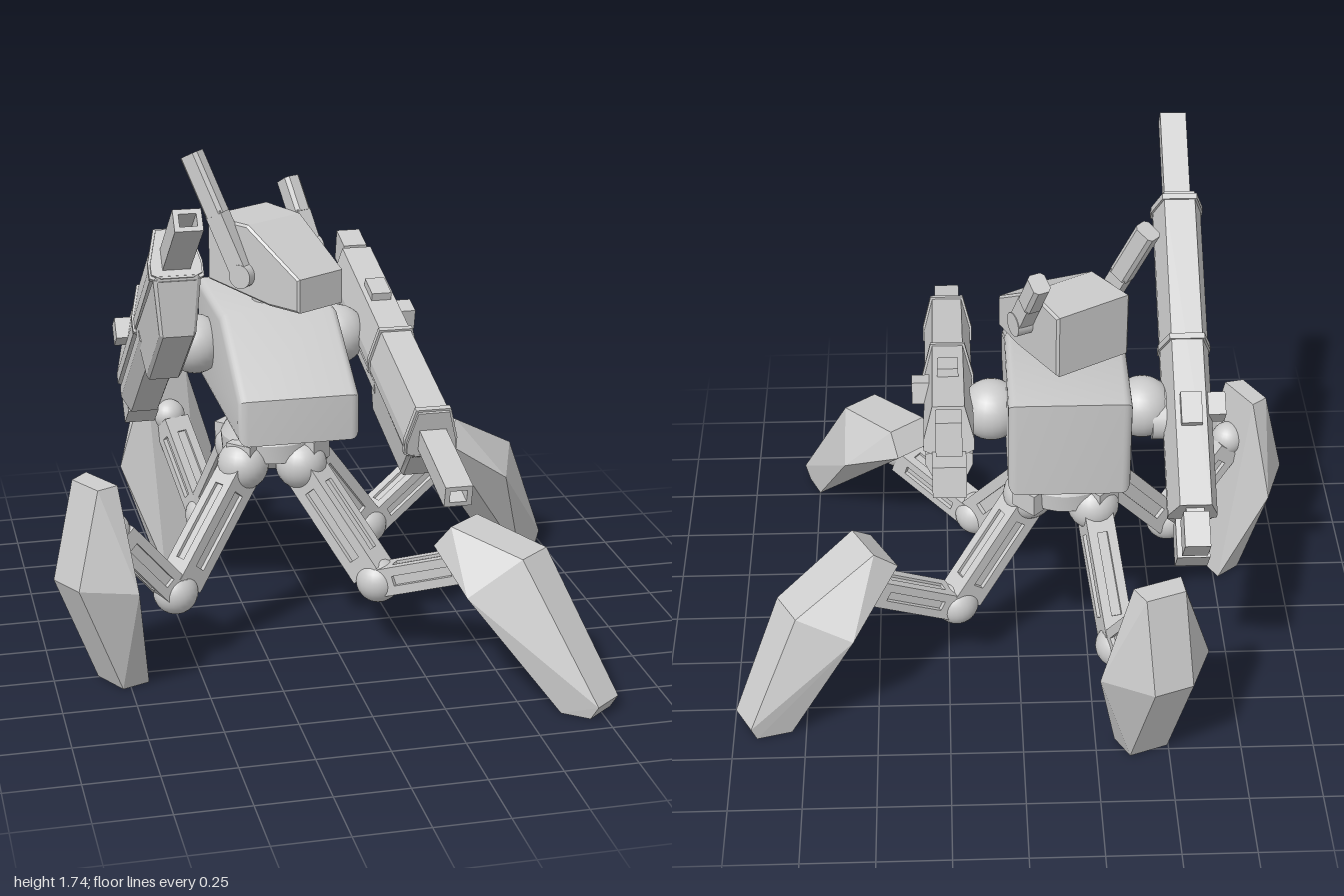
import * as THREE from 'three';
import { toCreasedNormals } from 'three/addons/utils/BufferGeometryUtils.js';
import { ConvexGeometry } from 'three/addons/geometries/ConvexGeometry.js';

const smooth = new THREE.MeshStandardMaterial({ color: 0xcccccc });
const flat = new THREE.MeshStandardMaterial({ color: 0xcccccc, flatShading: true });
const V = (a) => new THREE.Vector3(...a);

function add(parent, name, geometry, material = flat, pos = [0, 0, 0]) {
  const mesh = new THREE.Mesh(geometry, material);
  mesh.name = name;
  mesh.position.set(...pos);
  parent.add(mesh);
  return mesh;
}
function group(parent, name) {
  const g = new THREE.Group();
  g.name = name;
  parent.add(g);
  return g;
}
const ball = (parent, name, pos, r) =>
  add(parent, name, new THREE.SphereGeometry(r, 24, 16), smooth, pos);
const box = (parent, name, size, pos) =>
  add(parent, name, new THREE.BoxGeometry(...size), flat, pos);

// Side outline given as [z, y] points, extruded across x
function sideSolid(points, width, bevel, segments = 1) {
  const shape = new THREE.Shape(points.map((p) => new THREE.Vector2(...p)));
  const g = new THREE.ExtrudeGeometry(shape, {
    depth: width - 2 * bevel, bevelEnabled: bevel > 0,
    bevelSize: bevel, bevelThickness: bevel, bevelSegments: segments,
  });
  return g.translate(0, 0, bevel - width / 2).rotateY(-Math.PI / 2);
}
// Bar from z0 to z1 whose long edges are cut by cx across, and low / high upwards
function chamferBar(w, y0, y1, z0, z1, cx, low = cx, high = cx) {
  const h = w / 2;
  const shape = new THREE.Shape([
    [-h + cx, y0], [h - cx, y0], [h, y0 + low], [h, y1 - high],
    [h - cx, y1], [-h + cx, y1], [-h, y1 - high], [-h, y0 + low],
  ].map((p) => new THREE.Vector2(...p)));
  return new THREE.ExtrudeGeometry(shape, { depth: z1 - z0, bevelEnabled: false }).translate(0, 0, z0);
}

// Strut between two joints: solid core with a pair of rails on every side
function strut(parent, name, from, to, w, h) {
  const g = group(parent, name);
  const a = V(from), b = V(to), len = a.distanceTo(b);
  g.position.copy(a);
  g.lookAt(b);
  box(g, 'core', [w * 0.7, h * 0.8, len], [0, 0, len / 2]);
  for (const sx of [-1, 1]) for (const sy of [-1, 1])
    box(g, 'rail', [w * 0.32, h * 0.32, len * 0.86], [sx * w * 0.34, sy * h * 0.34, len / 2]);
  for (const t of [0.14, 0.86])
    box(g, 'collar', [w, h, len * 0.14], [0, 0, len * t]);
}

// Armoured foot: hull of cross-sections [radial, y, half width] about its centre
function foot(parent, centre, dir, sections) {
  const d = new THREE.Vector2(...dir).normalize();
  const pts = [];
  for (const [r, y, h] of sections) for (const s of [-h, h])
    pts.push(new THREE.Vector3(centre[0] + d.x * r + d.y * s, y, centre[1] + d.y * r - d.x * s));
  add(parent, 'footShell', new ConvexGeometry(pts));
}
const uprightFoot = [
  [-0.01, 0.75, 0.085], [0.06, 0.745, 0.07], [0, 0.4, 0.2], [0.15, 0.41, 0.07],
  [-0.12, 0, 0.085], [-0.02, 0, 0.07],
];
const legs = [
  { name: 'frontLeftLeg', hip: [-0.085, 0.64, 0.03], knee: [0.14, 0.27, 0.255], ankle: [0.43, 0.4, 0.48],
    centre: [0.485, 0.56], dir: [0.62, 0.785],
    foot: [[-0.21, 0.465, 0.09], [-0.15, 0.545, 0.075], [0, 0.36, 0.185], [0.14, 0.5, 0.07],
      [0.45, 0.05, 0.06], [0.42, 0, 0.06], [0.32, 0, 0.085]] },
  { name: 'backLeftLeg', hip: [-0.04, 0.64, -0.12], knee: [0.22, 0.27, -0.26], ankle: [0.54, 0.47, -0.4],
    centre: [0.6675, -0.4475], dir: [0.877, -0.48],
    foot: [[-0.23, 0.57, 0.1], [-0.15, 0.635, 0.08], [0, 0.4, 0.2], [0.15, 0.47, 0.07],
      [0.34, 0.05, 0.06], [0.32, 0, 0.06], [0.2, 0, 0.09]] },
  { name: 'frontRightLeg', hip: [-0.29, 0.65, 0.02], knee: [-0.565, 0.27, 0.2], ankle: [-0.79, 0.56, 0.3],
    centre: [-0.83, 0.315], dir: [-0.87, 0.5], foot: uprightFoot },
  { name: 'backRightLeg', hip: [-0.26, 0.65, -0.2], knee: [-0.335, 0.26, -0.5], ankle: [-0.43, 0.58, -0.74],
    centre: [-0.4375, -0.775], dir: [-0.35, -0.94], foot: uprightFoot },
];

function buildLeg(parent, leg) {
  const g = group(parent, leg.name);
  ball(g, 'hipJoint', leg.hip, 0.09);
  strut(g, 'upperLeg', leg.hip, leg.knee, 0.1, 0.12);
  ball(g, 'kneeJoint', leg.knee, 0.078);
  strut(g, 'lowerLeg', leg.knee, leg.ankle, 0.1, 0.1);
  ball(g, 'ankleJoint', leg.ankle, 0.06);
  foot(g, leg.centre, leg.dir, leg.foot);
}

// Arm cannon, local z forward; side is +1 for left, -1 for right
function buildCannon(parent, name, side, pos, pitch) {
  const g = group(parent, name);
  g.position.set(...pos);
  g.rotation.x = pitch;
  add(g, 'receiver', chamferBar(0.165, -0.02, 0.147, -0.35, 0.77, 0.03, 0.015, 0.115));
  add(g, 'lowerReceiver', chamferBar(0.155, -0.12, -0.015, -0.335, 0.3, 0.03, 0.06, 0.01));
  // Fore guard with chamfered lower edges
  const guard = sideSolid([[0.755, -0.02], [0.64, -0.165], [0.24, -0.17], [0.24, -0.01]], 0.16, 0.012);
  const q = guard.attributes.position;
  for (let i = 0; i < q.count; i++) q.setX(i, q.getX(i) * (1 + 1.5 * Math.min(0, q.getY(i))));
  add(g, 'foreGuard', guard);
  for (const z of [0.23, 0.74]) add(g, 'band', chamferBar(0.178, -0.028, 0.154, z, z + 0.02, 0.03, 0.015, 0.115));
  // Hollow square barrel
  const ring = new THREE.Shape([[-0.045, 0.008], [0.045, 0.008], [0.045, 0.082], [-0.045, 0.082]]
    .map((p) => new THREE.Vector2(...p)));
  ring.holes.push(new THREE.Path([[-0.028, 0.024], [-0.028, 0.066], [0.028, 0.066], [0.028, 0.024]]
    .map((p) => new THREE.Vector2(...p))));
  add(g, 'barrel', new THREE.ExtrudeGeometry(ring, { depth: 0.34, bevelEnabled: false }), flat, [0, 0, 0.76]);
  // Rear counterweights
  box(g, 'rearLink', [0.06, 0.06, 0.06], [0, 0.085, -0.37]);
  box(g, 'rearBlock', [0.085, 0.115, 0.12], [0, 0.087, -0.43]);
  box(g, 'rearLink', [0.06, 0.06, 0.06], [0, -0.062, -0.34]);
  box(g, 'rearBlock', [0.11, 0.105, 0.135], [0, -0.062, -0.418]);
  // Sight, side lug and shoulder mount
  box(g, 'sight', [0.07, 0.06, 0.11], [0, 0.145, -0.02]);
  box(g, 'sideLug', [0.06, 0.075, 0.08], [side * 0.092, 0.07, 0.015]);
  const mount = add(g, 'mount', new THREE.CylinderGeometry(0.07, 0.07, 0.1, 20), smooth, [-side * 0.07, 0, 0]);
  mount.rotation.z = Math.PI / 2;
}

// Ear fin: round pivot, thick lower part, slim upper blade
function buildEar(parent, name, base, tip) {
  const g = group(parent, name);
  g.position.set(...base);
  g.lookAt(V(tip));
  const len = V(base).distanceTo(V(tip));
  const pivot = add(g, 'pivot', toCreasedNormals(new THREE.CylinderGeometry(0.042, 0.042, 0.06, 20), 0.6), smooth);
  pivot.rotation.z = Math.PI / 2;
  box(g, 'earBase', [0.055, 0.065, len * 0.52], [0, 0, len * 0.26]);
  add(g, 'earBlade', chamferBar(0.062, -0.037, 0.037, len * 0.5, len, 0.012));
}

export function createModel() {
  const model = new THREE.Group();
  model.name = 'walker';

  // Torso with sloping nose
  const torso = sideSolid([[-0.38, 0.88], [0.36, 0.88], [0.36, 0.99], [0.04, 1.18], [-0.38, 1.18]], 0.41, 0.03, 4);
  add(model, 'torso', toCreasedNormals(torso, 0.6), smooth, [-0.165, 0, 0]);

  // Pelvis
  const profile = [[0, 0.62], [0.1, 0.62], [0.13, 0.66], [0.175, 0.665], [0.18, 0.73], [0.12, 0.84], [0.12, 0.88]];
  const lathe = new THREE.LatheGeometry(profile.map((p) => new THREE.Vector2(...p)), 32);
  add(model, 'pelvis', toCreasedNormals(lathe, 0.5), smooth, [-0.165, 0, -0.09]);
  for (let i = 0; i < 4; i++) {
    const a = Math.PI / 4 + (i * Math.PI) / 2;
    const lug = box(model, 'hipBracket', [0.1, 0.08, 0.08],
      [-0.165 + 0.17 * Math.sin(a), 0.695, -0.09 + 0.17 * Math.cos(a)]);
    lug.rotation.y = a;
  }
  legs.forEach((leg) => buildLeg(model, leg));

  // Shoulders and arm cannons
  for (const x of [-0.42, 0.09]) {
    ball(model, 'shoulder', [x, 1.04, -0.175], 0.105);
    const axle = add(model, 'shoulderAxle', new THREE.CylinderGeometry(0.075, 0.075, 0.2, 24), smooth, [x, 1.04, -0.175]);
    axle.rotation.z = Math.PI / 2;
  }
  buildCannon(model, 'leftCannon', 1, [0.235, 1.04, -0.175], 0.239);
  buildCannon(model, 'rightCannon', -1, [-0.57, 1.015, -0.215], -0.635);

  // Neck and turned head, narrowing to the front
  add(model, 'neck', new THREE.CylinderGeometry(0.055, 0.065, 0.14, 20), smooth, [-0.165, 1.25, -0.1]);
  const head = sideSolid([[0.21, 1.235], [0.21, 1.34], [-0.02, 1.485], [-0.2, 1.487], [-0.2, 1.275], [0.08, 1.235]], 0.26, 0.008);
  const p = head.attributes.position;
  for (let i = 0; i < p.count; i++) p.setX(i, p.getX(i) * (0.95 - 0.7 * p.getZ(i)));
  add(model, 'head', head, flat, [-0.14, 0, -0.08]).rotation.y = 0.53;
  buildEar(model, 'rightEar', [-0.27, 1.32, -0.03], [-0.42, 1.72, -0.165]);
  buildEar(model, 'leftEar', [-0.01, 1.37, -0.15], [-0.065, 1.59, -0.265]);
  return model;
}
